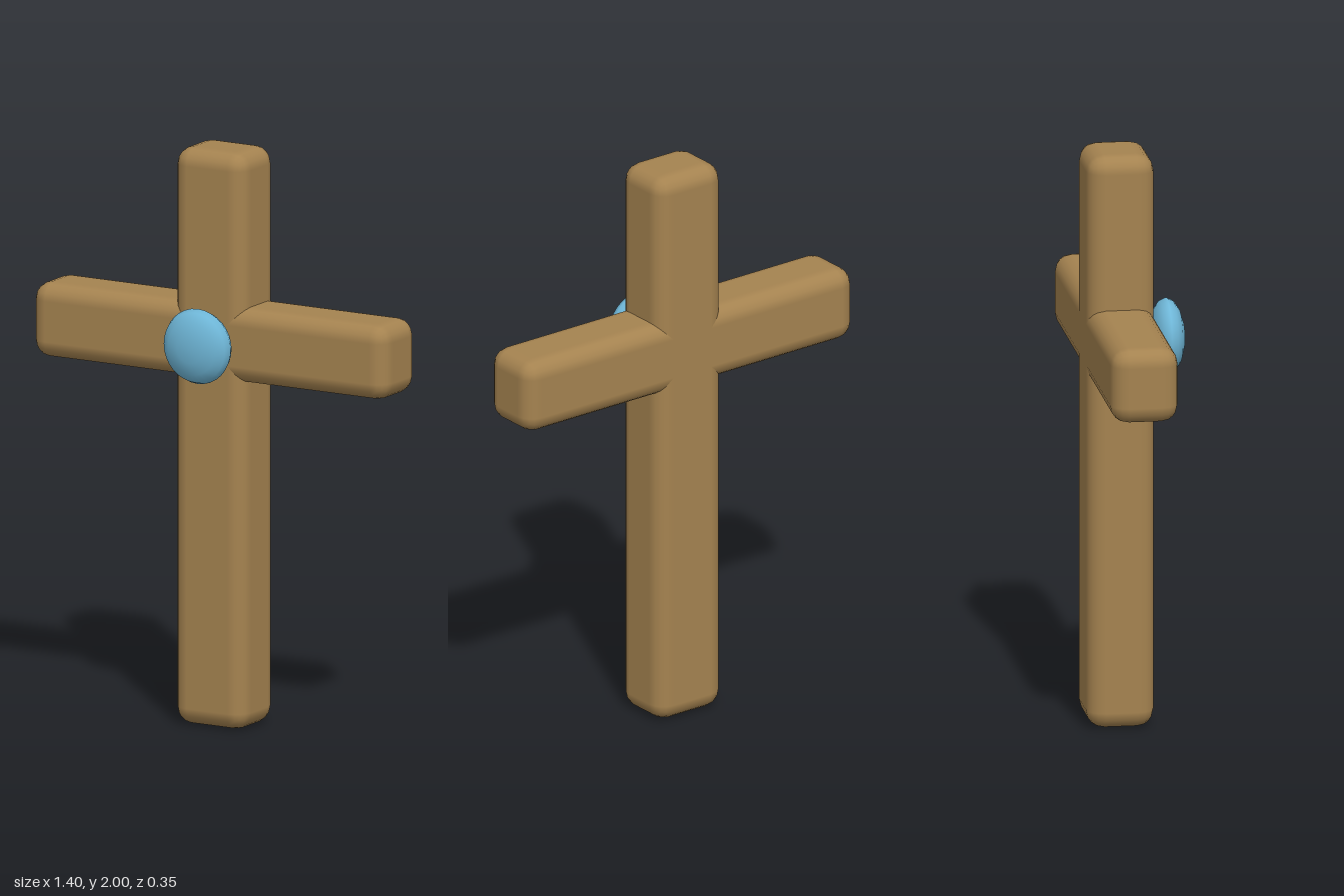
import * as THREE from 'three';
import { RoundedBoxGeometry } from 'three/addons/geometries/RoundedBoxGeometry.js';

export function createModel() {
  const model = new THREE.Group();
  model.name = 'cross';
  const wood = new THREE.MeshStandardMaterial({ name: 'wood brown', color: 0xa58350 });
  const blue = new THREE.MeshStandardMaterial({ name: 'gem blue', color: 0x6fb7d8 });

  const add = (name, geometry, material, y, z) => {
    const mesh = new THREE.Mesh(geometry, material);
    mesh.name = name;
    mesh.position.set(0, y, z);
    model.add(mesh);
  };

  // Two rounded beams of equal depth
  const depth = 0.23, beamZ = -0.06, radius = 0.06;
  add('post', new RoundedBoxGeometry(0.28, 2, depth, 2, radius), wood, 1, beamZ);
  add('crossbar', new RoundedBoxGeometry(1.4, 0.26, depth, 2, radius), wood, 1.337, beamZ);

  // Flattened gem with its poles along z, touching the front
  const gem = new THREE.SphereGeometry(0.13, 32, 8).rotateX(Math.PI / 2).scale(1, 1, 0.46);
  add('gem', gem, blue, 1.337, 0.113);

  return model;
}
